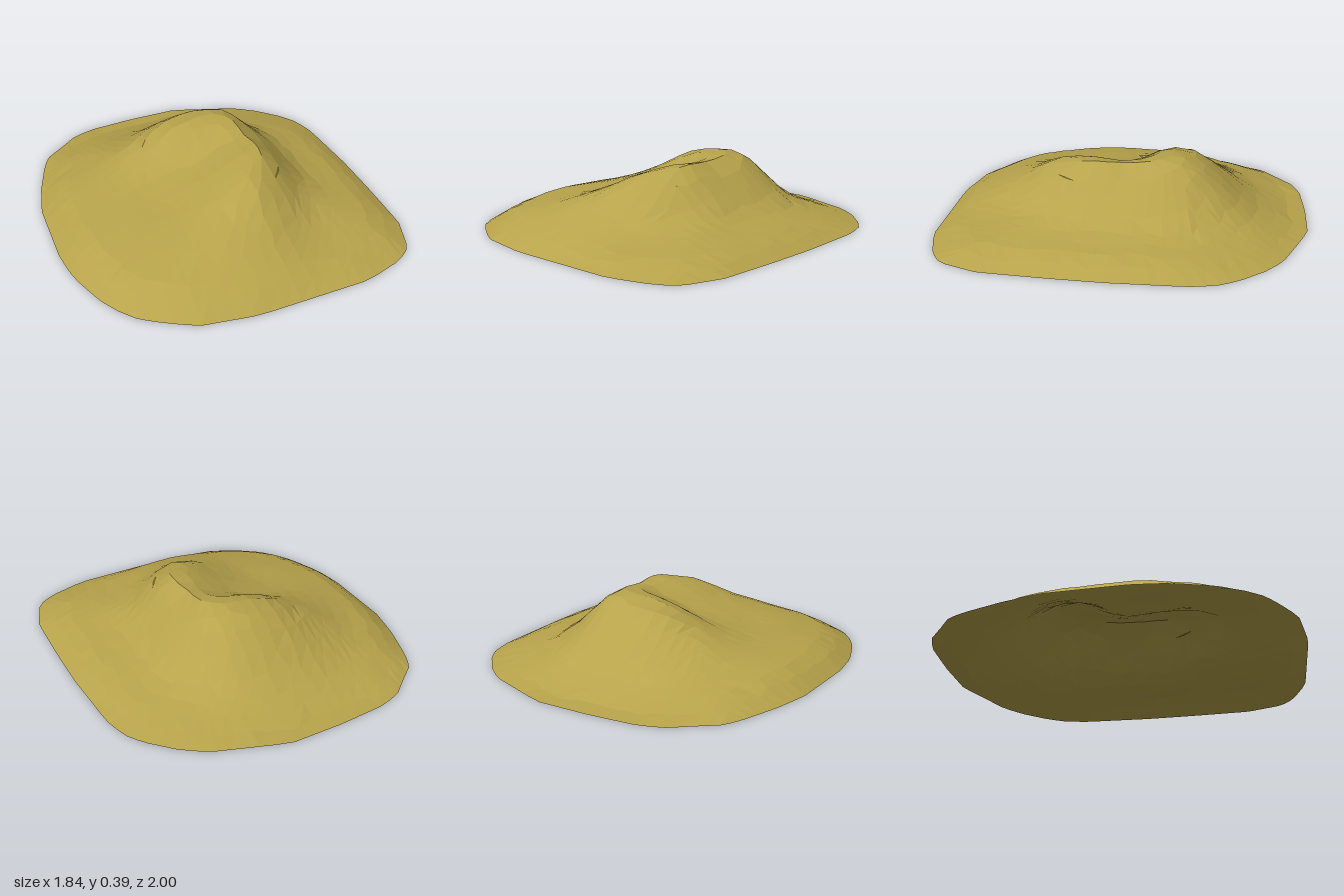
import * as THREE from 'three';

// Height cross-sections: one row per z station, one value per x station
const XS = [-0.8, -0.55, -0.3, -0.1, 0.1, 0.25, 0.4, 0.55, 0.8];
const SECTIONS = [
  { z: -0.9, h: [0.015, 0.015, 0.015, 0.015, 0.015, 0.015, 0.015, 0.015, 0.01] },
  { z: -0.75, h: [0.03, 0.045, 0.06, 0.075, 0.075, 0.065, 0.05, 0.035, 0.02] },
  { z: -0.62, h: [0.045, 0.075, 0.12, 0.16, 0.165, 0.14, 0.09, 0.055, 0.03] },
  { z: -0.48, h: [0.06, 0.105, 0.19, 0.265, 0.29, 0.255, 0.15, 0.085, 0.04] },
  { z: -0.34, h: [0.075, 0.135, 0.25, 0.345, 0.375, 0.35, 0.22, 0.11, 0.05] },
  { z: -0.19, h: [0.085, 0.15, 0.245, 0.335, 0.38, 0.375, 0.25, 0.125, 0.06] },
  { z: -0.02, h: [0.09, 0.15, 0.205, 0.255, 0.325, 0.365, 0.25, 0.125, 0.065] },
  { z: 0.2, h: [0.095, 0.145, 0.185, 0.255, 0.345, 0.365, 0.23, 0.12, 0.065] },
  { z: 0.4, h: [0.08, 0.13, 0.18, 0.25, 0.32, 0.265, 0.16, 0.11, 0.06] },
  { z: 0.6, h: [0.06, 0.105, 0.155, 0.19, 0.19, 0.14, 0.1, 0.085, 0.055] },
  { z: 0.85, h: [0.045, 0.06, 0.07, 0.08, 0.075, 0.06, 0.05, 0.045, 0.035] },
];
const ZS = SECTIONS.map((s) => s.z);

// Ground outline as x, z pairs
const OUTLINE = [
  [-0.1, -1], [0.2, -1], [0.58, -0.86], [0.7, -0.77], [0.82, -0.64], [0.88, -0.54], [0.91, -0.4],
  [0.92, 0], [0.91, 0.3], [0.89, 0.64], [0.81, 0.85], [0.71, 0.92], [0.48, 0.99], [-0.15, 1],
  [-0.45, 0.95], [-0.6, 0.86], [-0.7, 0.79], [-0.77, 0.7], [-0.83, 0.59], [-0.9, 0.37], [-0.92, 0.18],
  [-0.9, -0.25], [-0.85, -0.45], [-0.77, -0.67], [-0.72, -0.77], [-0.6, -0.86], [-0.5, -0.94], [-0.38, -0.98],
];

// Smooth cubic through values at uneven stations, constant beyond the ends
function interpolate(stations, values, p) {
  const last = stations.length - 1;
  if (p <= stations[0]) return values[0];
  if (p >= stations[last]) return values[last];
  let i = 0;
  while (p > stations[i + 1]) i++;
  const slope = (k) => {
    const a = Math.max(k - 1, 0), b = Math.min(k + 1, last);
    return (values[b] - values[a]) / (stations[b] - stations[a]);
  };
  const d = stations[i + 1] - stations[i], t = (p - stations[i]) / d, t2 = t * t, t3 = t2 * t;
  return (2 * t3 - 3 * t2 + 1) * values[i] + (t3 - 2 * t2 + t) * d * slope(i)
    + (3 * t2 - 2 * t3) * values[i + 1] + (t3 - t2) * d * slope(i + 1);
}

const heightAt = (x, z) => interpolate(ZS, SECTIONS.map((s) => interpolate(XS, s.h, x)), z);

// How far the outline lies from the centre along a direction
function outlineReach(dx, dz) {
  for (let i = 0; i < OUTLINE.length; i++) {
    const [ax, az] = OUTLINE[i], [bx, bz] = OUTLINE[(i + 1) % OUTLINE.length];
    const ex = bx - ax, ez = bz - az, det = dx * ez - dz * ex;
    if (Math.abs(det) < 1e-9) continue;
    const reach = (ax * ez - az * ex) / det;
    const along = (ax * dz - az * dx) / det;
    if (reach > 0 && along >= -1e-6 && along <= 1 + 1e-6) return reach;
  }
  return 1;
}

function seeded(seed) {
  return () => {
    seed = (seed * 16807) % 2147483647;
    return seed / 2147483647 - 0.5;
  };
}

export function createModel() {
  const group = new THREE.Group();
  group.name = 'hill';
  const earth = new THREE.MeshStandardMaterial({ color: 0xb7a34b, flatShading: true, side: THREE.DoubleSide });
  earth.name = 'ochre earth';

  // Square grid squeezed into the outline, then raised into a curved ridge with a hollow
  const cells = 22;
  const geometry = new THREE.PlaneGeometry(2, 2, cells, cells).rotateX(-Math.PI / 2);
  const position = geometry.attributes.position;
  const jitter = seeded(71);
  for (let i = 0; i < position.count; i++) {
    let u = position.getX(i), v = position.getZ(i);
    const onRim = Math.max(Math.abs(u), Math.abs(v)) > 0.999;
    if (!onRim) {
      u += jitter() * 0.04;
      v += jitter() * 0.04;
    }
    const ring = Math.max(Math.abs(u), Math.abs(v));
    const length = Math.hypot(u, v) || 1;
    const dx = u / length, dz = v / length;
    const reach = outlineReach(dx, dz) * ring;
    const x = dx * reach, z = dz * reach;
    const rimFade = onRim ? 0 : Math.min(1, (1 - ring) / 0.13);
    position.setXYZ(i, x, heightAt(x, z) * rimFade, z);
  }
  geometry.computeVertexNormals();

  const mound = new THREE.Mesh(geometry, earth);
  mound.name = 'mound';
  group.add(mound);
  return group;
}
